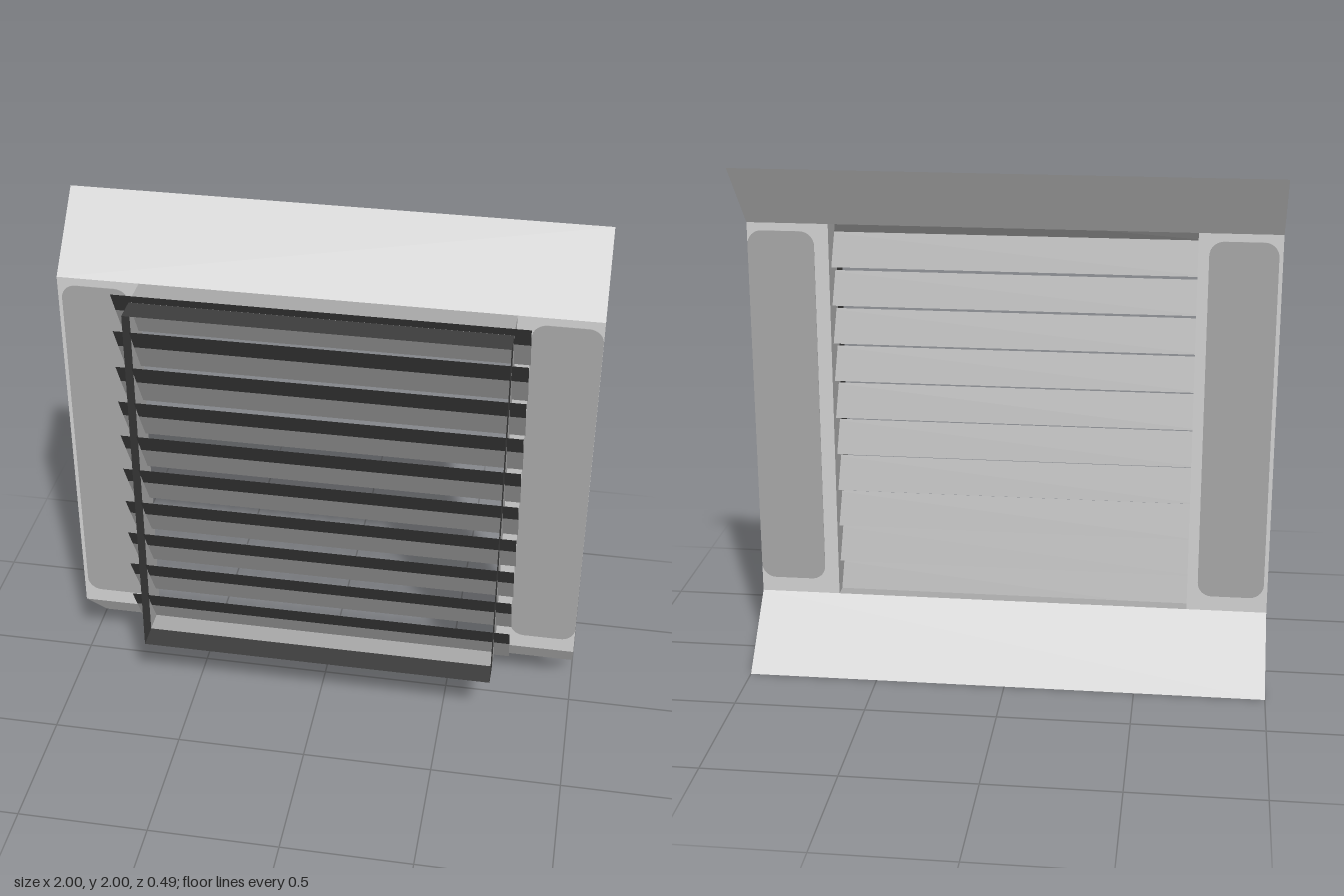
import * as THREE from 'three';

const material = (name, color, side = THREE.DoubleSide) => {
  const m = new THREE.MeshStandardMaterial({ color, side });
  m.name = name;
  return m;
};

// Flat sheet from four corners, counter-clockwise seen from its front
function sheet(name, corners, mat) {
  const g = new THREE.BufferGeometry();
  g.setAttribute('position', new THREE.Float32BufferAttribute(corners.flat(), 3));
  g.setIndex([0, 1, 2, 0, 2, 3]);
  g.computeVertexNormals();
  const mesh = new THREE.Mesh(g, mat);
  mesh.name = name;
  return mesh;
}

// Sheet spanning x0..x1 between two [y, z] edges
const strip = (name, x0, x1, [ya, za], [yb, zb], mat) =>
  sheet(name, [[x0, ya, za], [x1, ya, za], [x1, yb, zb], [x0, yb, zb]], mat);

// Thin plate with rounded corners
function roundedPlate(name, w, h, r, depth, mat) {
  const s = new THREE.Shape();
  const x = w / 2, y = h / 2;
  s.moveTo(-x + r, -y);
  s.lineTo(x - r, -y);
  s.absarc(x - r, -y + r, r, -Math.PI / 2, 0);
  s.absarc(x - r, y - r, r, 0, Math.PI / 2);
  s.absarc(-x + r, y - r, r, Math.PI / 2, Math.PI);
  s.absarc(-x + r, -y + r, r, Math.PI, Math.PI * 1.5);
  const g = new THREE.ExtrudeGeometry(s, { depth, bevelEnabled: false, curveSegments: 6 });
  g.translate(0, 0, -depth / 2);
  const mesh = new THREE.Mesh(g, mat);
  mesh.name = name;
  return mesh;
}

export function createModel() {
  const pale = material('pale grey', 0xd0d0d0);
  const grey = material('mid grey', 0xa6a6a6);
  const dark = material('dark grey', 0x3c3c3c);
  const darkFront = material('dark grey front', 0x3c3c3c, THREE.FrontSide);

  const model = new THREE.Group();
  model.name = 'louvreVent';
  const LOW = 0.25, HIGH = 1.75, DUCT = 0.69;

  // Sloping flanges above and below the mounting plate
  model.add(strip('topFlange', -1, 1, [HIGH, 0], [2, -0.25], pale));
  model.add(strip('bottomFlange', -1, 1, [0, -0.25], [LOW, 0], pale));

  // Mounting plate beside the opening, with a rounded pad on each side
  for (const side of [-1, 1]) {
    const [x0, x1] = side < 0 ? [-1, -DUCT] : [DUCT, 1];
    model.add(strip('sidePlate', x0, x1, [LOW, 0], [HIGH, 0], pale));
    const pad = roundedPlate('sidePad', 0.255, 1.41, 0.055, 0.005, grey);
    pad.position.set(side * 0.865 + 0.007, 1.015, 0);
    model.add(pad);
  }

  // Open rectangular duct: a light inner length and a dark front rim
  const duct = (name, z0, z1, mat) => {
    const group = new THREE.Group();
    group.name = name;
    for (const y of [LOW, HIGH]) {
      group.add(strip(name + 'Level', -DUCT, DUCT, [y, z1], [y, z0], mat));
    }
    for (const x of [-DUCT, DUCT]) {
      group.add(sheet(name + 'Side',
        [[x, LOW, z1], [x, LOW, z0], [x, HIGH, z0], [x, HIGH, z1]], mat));
    }
    return group;
  };
  model.add(duct('duct', 0, 0.143, grey), duct('frontRim', 0.143, 0.242, dark));

  // Slanted blades, low at the back and high at the front, with dark upper halves
  const blades = new THREE.Group();
  blades.name = 'blades';
  for (let i = 0; i < 10; i++) {
    const y = 0.225 + i * 0.15;
    const bend = [y + 0.122, 0.112], top = [y + 0.214, 0.165];
    blades.add(strip('bladeBack', -0.75, 0.75, [y, 0.04], bend, grey));
    blades.add(strip('bladeFront', -0.75, 0.75, bend, top, i === 9 ? dark : darkFront));
  }
  model.add(blades);
  return model;
}
